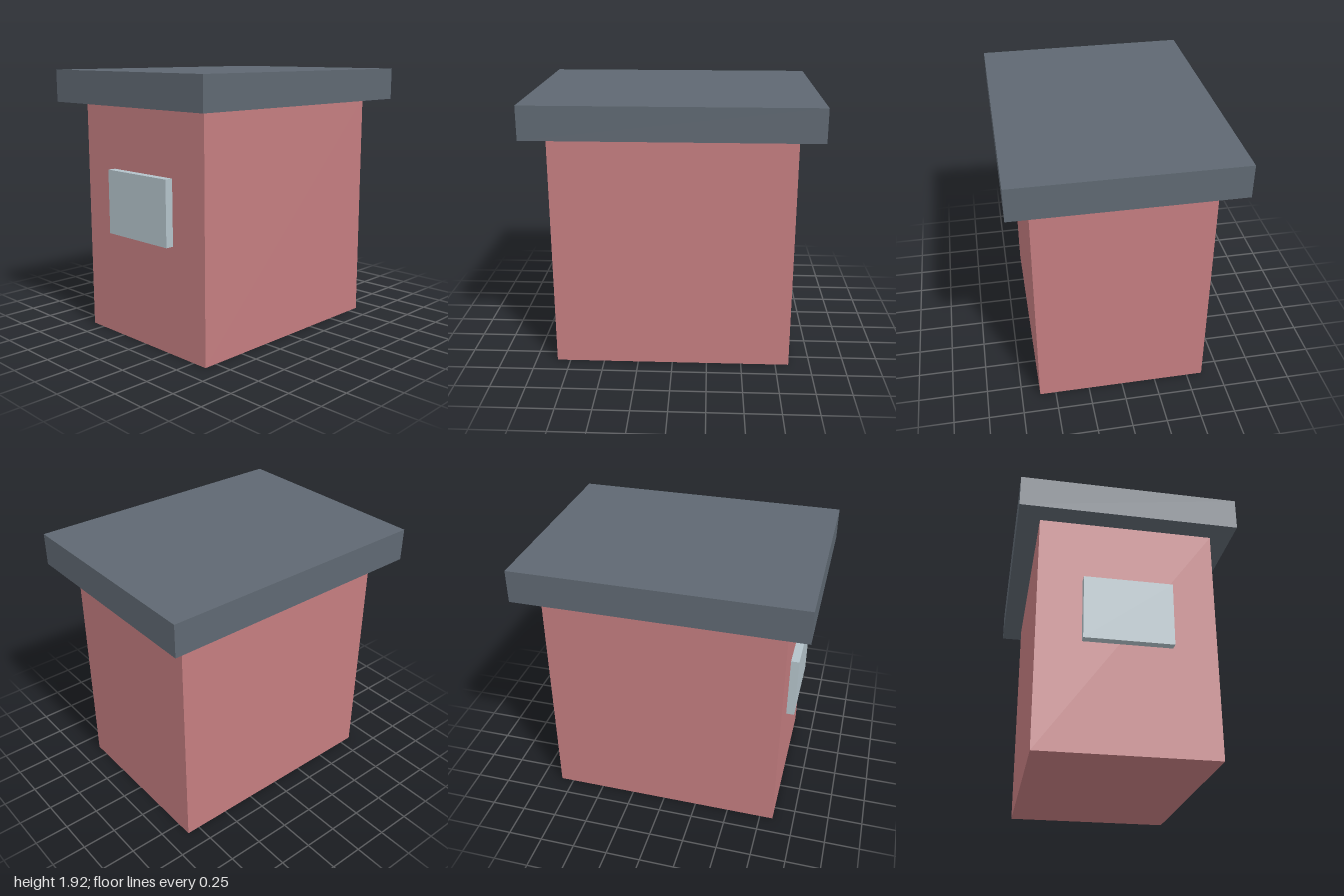
import * as THREE from 'three';

const material = (name, color) => {
  const m = new THREE.MeshStandardMaterial({ color });
  m.name = name;
  return m;
};

// Box placed by its bottom height and centre depth
function box(name, [w, h, d], bottom, z, mat) {
  const mesh = new THREE.Mesh(new THREE.BoxGeometry(w, h, d), mat);
  mesh.name = name;
  mesh.position.set(0, bottom + h / 2, z);
  return mesh;
}

export function createModel() {
  const wallRed = material('wall red', 0xc47d80);
  const roofGrey = material('roof slate grey', 0x5f6872);
  const paneBlue = material('window pale blue', 0xb4c3ca);

  const group = new THREE.Group();
  group.name = 'hut';
  group.add(
    box('walls', [1.231, 1.692, 1.692], 0, 0, wallRed),
    box('roof', [1.538, 0.231, 2], 1.692, 0, roofGrey),
    // window panel standing proud of the front wall
    box('window', [0.615, 0.462, 0.058], 0.769, 0.875, paneBlue),
  );
  return group;
}
